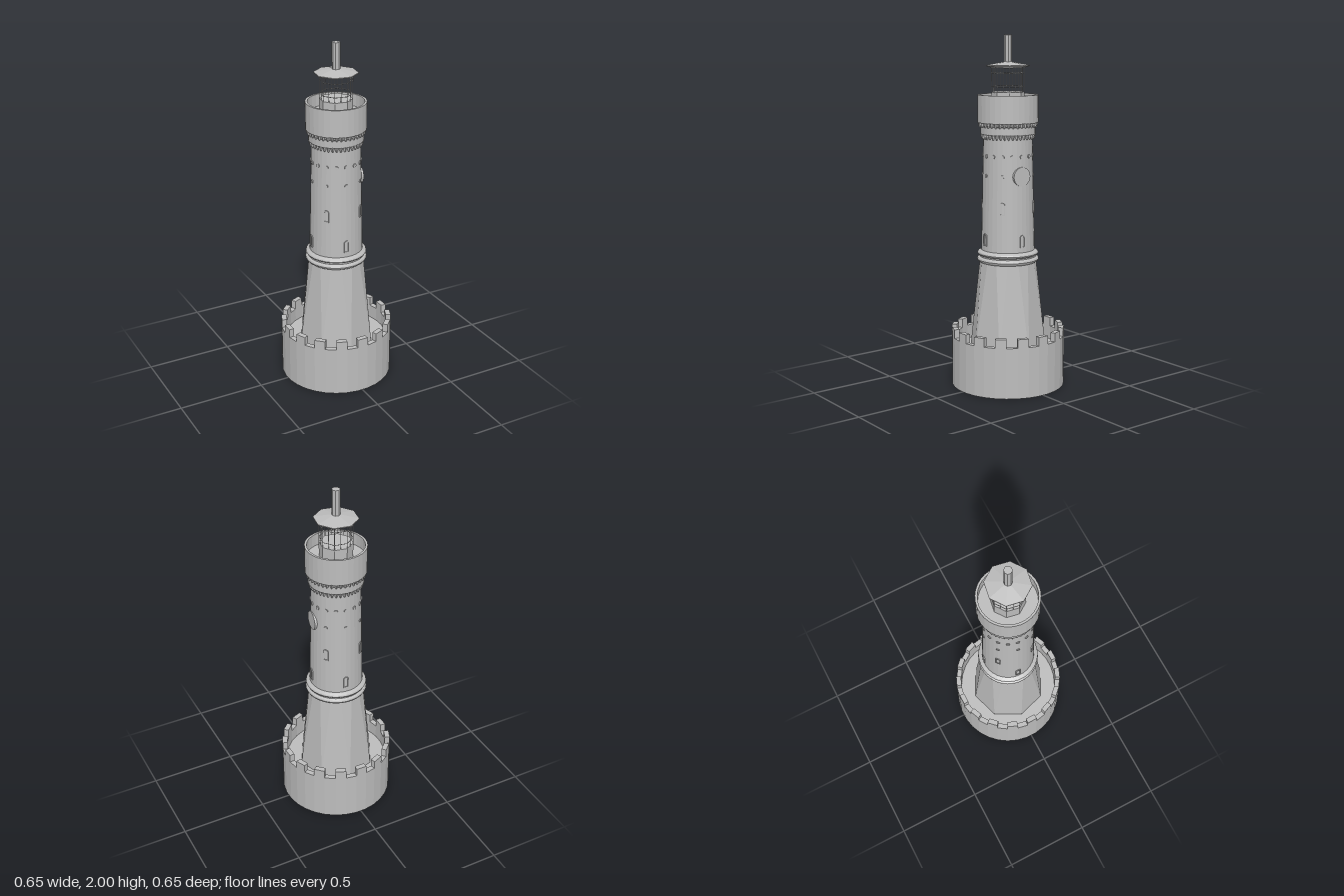
import * as THREE from 'three';

const stone = new THREE.MeshStandardMaterial({ color: 0xbcbcbc, flatShading: true });
stone.name = 'grey stone';
const TURN = -0.09; // the shaft and its openings are turned slightly about the axis

export function createModel() {
  const model = new THREE.Group();
  model.name = 'lighthouse';

  const add = (name, geometry, parent = model) => {
    const mesh = new THREE.Mesh(geometry, stone);
    mesh.name = name;
    parent.add(mesh);
    return mesh;
  };
  const lathe = (points, segments = 32, start = Math.PI / segments) =>
    new THREE.LatheGeometry(points.map(([r, y]) => new THREE.Vector2(r, y)), segments, start);
  // Repeats a part around the axis; the geometry faces +z at the given radius
  const around = (name, geometry, count, radius, y, start = 0, skip = -1) => {
    const ring = new THREE.Group();
    ring.name = name + 'Ring';
    for (let i = 0; i < count; i++) {
      if (i === skip) continue;
      const a = start + (i / count) * Math.PI * 2;
      const mesh = add(name, geometry, ring);
      mesh.position.set(Math.sin(a) * radius, y, Math.cos(a) * radius);
      mesh.rotation.y = a;
    }
    model.add(ring);
  };
  const towerRadius = (y) => 0.153 - (y - 0.79) * 0.0215;

  // Round base with a sunken floor and a battlement
  add('baseWall', lathe([[0, 0], [0.325, 0], [0.325, 0.29], [0.295, 0.29], [0.295, 0.21], [0, 0.21]]));
  const h = Math.PI / 32;
  const block = new THREE.Shape([[-1, 0.295], [1, 0.295], [1, 0.325], [-1, 0.325]]
    .map(([s, r]) => new THREE.Vector2(s * r * Math.sin(h), r * Math.cos(h))));
  const merlon = new THREE.ExtrudeGeometry(block, { depth: 0.05, bevelEnabled: false });
  merlon.rotateX(Math.PI / 2);
  around('merlon', merlon, 16, 0, 0.34);

  // Lower shaft: eight-sided foot whose corners widen into a sixteen-sided top
  const foot = new THREE.CylinderGeometry(0.162, 0.223, 0.51, 16, 1, true, Math.PI / 16);
  const p = foot.attributes.position;
  for (let i = 0; i < p.count; i++) {
    if (p.getY(i) > 0) continue;
    const a = Math.round(Math.atan2(p.getX(i), p.getZ(i)) / (Math.PI / 4)) * (Math.PI / 4);
    p.setX(i, Math.sin(a) * 0.223);
    p.setZ(i, Math.cos(a) * 0.223);
  }
  const lower = add('lowerShaft', foot);
  lower.position.y = 0.465;
  lower.rotation.y = TURN;

  // Double moulding between the shafts
  add('moulding', lathe([
    [0.15, 0.715], [0.164, 0.72], [0.173, 0.727], [0.177, 0.736], [0.173, 0.745], [0.162, 0.752],
    [0.162, 0.759], [0.171, 0.764], [0.175, 0.772], [0.171, 0.78], [0.16, 0.787], [0.15, 0.792],
  ]));

  // Upper shaft
  add('upperShaft', lathe([[towerRadius(0.78), 0.78], [towerRadius(1.47), 1.47]]));

  // Corbelled gallery with a parapet open at the top
  add('gallery', lathe([
    [0.13, 1.45], [0.155, 1.45], [0.155, 1.495], [0.16, 1.5], [0.16, 1.515], [0.171, 1.515],
    [0.171, 1.67], [0.158, 1.67], [0.158, 1.6], [0, 1.6],
  ]));
  const corbel = new THREE.CylinderGeometry(0.012, 0.004, 0.028, 4);
  around('lowerCorbel', corbel, 40, 0.145, 1.438);
  around('upperCorbel', corbel, 40, 0.159, 1.504);

  // Arched window frames
  const arch = (w, bottom, spring, path) => {
    path.moveTo(-w, bottom);
    path.lineTo(w, bottom);
    path.lineTo(w, spring);
    path.absarc(0, spring, w, 0, Math.PI, false);
    path.closePath();
    return path;
  };
  const frameShape = arch(0.016, -0.035, 0.02, new THREE.Shape());
  frameShape.holes.push(arch(0.01, -0.03, 0.02, new THREE.Path()));
  const frame = new THREE.ExtrudeGeometry(frameShape, { depth: 0.008, bevelEnabled: false, curveSegments: 6 });
  around('lowerWindow', frame, 4, towerRadius(0.85) - 0.004, 0.855, TURN);
  around('upperWindow', frame, 4, towerRadius(1.04) - 0.004, 1.04, TURN + Math.PI / 4);

  // Round openings and the large disc on the left side
  const disc = (r, depth, sides) =>
    new THREE.CylinderGeometry(r, r, depth, sides).rotateX(Math.PI / 2);
  around('roundOpening', disc(0.01, 0.008, 10), 8, towerRadius(1.22), 1.22, TURN, 2);
  around('smallOpening', disc(0.011, 0.008, 10), 16, towerRadius(1.33), 1.33, TURN);
  around('largeDisc', disc(0.054, 0.018, 24), 1, towerRadius(1.22) - 0.005, 1.22, TURN + Math.PI / 2);

  // Lantern: solid foot, thin glazing bars, roof and spire
  const lantern = new THREE.Group();
  lantern.name = 'lantern';
  lantern.rotation.y = 0.218;
  model.add(lantern);
  add('lanternFoot', new THREE.CylinderGeometry(0.093, 0.093, 0.085, 8), lantern).position.y = 1.6425;
  const bar = new THREE.CylinderGeometry(0.002, 0.002, 0.145, 4);
  for (let i = 0; i < 16; i++) {
    const a = (i / 16) * Math.PI * 2;
    const r = i % 2 ? 0.092 * Math.cos(Math.PI / 8) : 0.092;
    add('glazingBar', bar, lantern).position.set(Math.sin(a) * r, 1.752, Math.cos(a) * r);
  }
  for (const y of [1.715, 1.79]) {
    const hoop = new THREE.TorusGeometry(0.092, 0.002, 4, 8).rotateX(Math.PI / 2);
    add('glazingHoop', hoop, lantern).position.y = y;
  }
  add('roof', lathe([[0, 1.818], [0.09, 1.818], [0.123, 1.828], [0.123, 1.833], [0.022, 1.852]], 8, 0), lantern);
  add('spire', new THREE.CylinderGeometry(0.023, 0.023, 0.16, 8), lantern).position.y = 1.92;

  return model;
}
